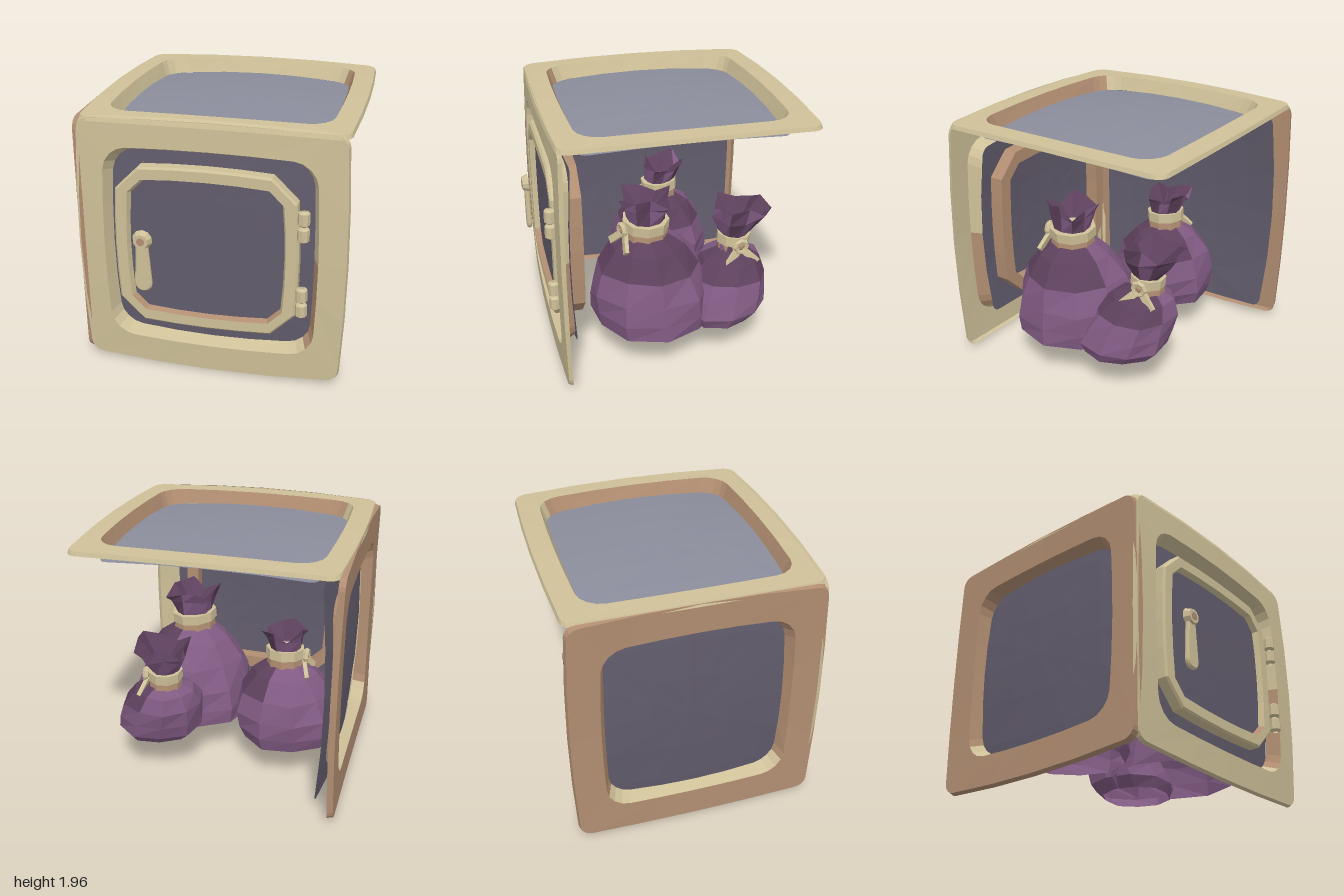
import * as THREE from 'three';

const make = (name, color) => {
  const m = new THREE.MeshStandardMaterial({ color, flatShading: true, side: THREE.DoubleSide });
  m.name = name;
  return m;
};
const beige = make('beige', 0xcec098);
const brown = make('brown', 0xb28e72);
const darkGrey = make('dark grey', 0x625c6c);
const slate = make('slate', 0x8b8d9c);
const purple = make('purple', 0x805a82);
const plum = make('plum', 0x5e415d);

const mesh = (name, geo, mat, x = 0, y = 0, z = 0) => {
  const m = new THREE.Mesh(geo, mat);
  m.name = name;
  m.position.set(x, y, z);
  return m;
};

// Skin consecutive closed loops of points; pick(i, j, mid) gives the material index of each quad
function loft(loops, pick = () => 0) {
  const buckets = [[], []];
  for (let i = 0; i < loops.length - 1; i++) {
    const n = loops[i].length;
    for (let j = 0; j < n; j++) {
      const k = (j + 1) % n;
      const a = loops[i][j], b = loops[i][k], c = loops[i + 1][k], d = loops[i + 1][j];
      const mid = a.clone().add(c).multiplyScalar(0.5);
      for (const p of [a, b, c, a, c, d]) buckets[pick(i, j, mid)].push(p.x, p.y, p.z);
    }
  }
  const geo = new THREE.BufferGeometry();
  geo.setAttribute('position', new THREE.Float32BufferAttribute(buckets.flat(), 3));
  geo.addGroup(0, buckets[0].length / 3, 0);
  geo.addGroup(buckets[0].length / 3, buckets[1].length / 3, 1);
  geo.computeVertexNormals();
  return geo;
}

// Rounded square loop with slightly bowed sides, lying in xy at depth z with a shallow dome
function outline(hw, hh, r, z, { arc = 4, bow = 0.035, dome = 0.02 } = {}) {
  const corners = [[1, 1], [-1, 1], [-1, -1], [1, -1]];
  const pts = [];
  corners.forEach(([sx, sy], q) => {
    for (let i = 0; i <= arc; i++) {
      const t = (q + i / arc) * Math.PI / 2;
      pts.push([sx * (hw - r) + r * Math.cos(t), sy * (hh - r) + r * Math.sin(t)]);
    }
    const [x0, y0] = pts[pts.length - 1];
    const [nx, ny] = corners[(q + 1) % 4];
    const x1 = nx * (q % 2 ? hw : hw - r), y1 = ny * (q % 2 ? hh - r : hh);
    for (const f of [0.25, 0.5, 0.75]) pts.push([x0 + (x1 - x0) * f, y0 + (y1 - y0) * f]);
  });
  return pts.map(([x, y]) => new THREE.Vector3(
    x * (1 - bow * (y / hh) ** 2), y * (1 - bow * (x / hw) ** 2), z + dome * (1 - x * x - y * y)));
}

const plate = (hw, hh, r, z, opt) =>
  loft([1, 0.7, 0.35, 0.0001].map((s) => outline(hw * s, hh * s, r * s, z, opt)));

// Framed wall facing +z: thin rim, flat face, bevel into the opening, domed recessed panel
function wall(name, { out, hole, rim, mats, bevel, panel, panelMat, shift = 0, dome = 0.02 }) {
  const g = new THREE.Group();
  g.name = name;
  const face = { dome }, inner = { dome: 0.06 };
  const loops = [
    outline(out[0], out[1], 0.08, -rim, face), outline(out[0] - 0.01, out[1] - 0.01, 0.08, 0, face),
    outline(hole[0], hole[1], 0.17, 0, face), outline(hole[0] - 0.04, hole[1] - 0.04, 0.16, -0.115, inner)];
  g.add(mesh(name + 'Frame', loft(loops, (i, j, m) => (i === 2 ? bevel(m) : 0)), mats));
  g.add(mesh(name + 'Panel', plate(panel[0], panel[1], 0.06, -0.12, { dome: 0.06, bow: 0.05 }), panelMat, shift));
  return g;
}

// Tied sack, open below: body, neck and crumpled mouth leaning from base to neck
function sack(name, { base, neck, r, neckR, neckY, topY, topR, tilt, turn, profile }) {
  const g = new THREE.Group();
  g.name = name;
  const n = 10, floor = 0.29, h = neckY - floor;
  const ring = (y, rad, wob, lift = 0, dz = 0) => Array.from({ length: n }, (_, j) => {
    const a = j / n * Math.PI * 2, f = Math.min(1, (y - floor) / h);
    const rr = rad * (1 + wob * Math.sin(j * 2.6 + y * 9));
    const up = lift * Math.sin(j * 4.1 + base[0] * 3);
    return new THREE.Vector3(base[0] + (neck[0] - base[0]) * f + Math.cos(a) * rr, y + up,
      base[1] + (neck[1] - base[1]) * f - Math.sin(a) * rr + dz);
  });
  const body = profile.map((k, i) => ring(floor + [0, 0.16, 0.36, 0.6, 0.82][i] * h, r * k, 0.04));
  body.push(ring(neckY - 0.04, neckR, 0));
  // Shoulder folds are plum on the side towards the opening
  g.add(mesh(name + 'Body', loft(body, (i, j) => (i >= 3 && (j < 2 || j > 6) ? 1 : 0)), [purple, plum]));
  const mouth = [ring(neckY - 0.05, neckR, 0), ring(neckY + 0.07, neckR * 0.95, 0.05),
    ring((neckY + topY) / 2 + 0.04, topR * 0.85, 0.16, 0.01, tilt / 2), ring(topY - 0.04, topR, 0.2, 0.045, tilt),
    ring(neckY + 0.12, neckR * 0.3, 0, 0, tilt / 3)];
  g.add(mesh(name + 'Mouth', loft(mouth, (i, j) => (i === 3 || j % 4 === 1 ? 1 : 0)), [purple, plum]));

  // Rope bands with a knot and two loose ends
  const rope = new THREE.Group();
  rope.name = name + 'Rope';
  rope.position.set(neck[0], neckY, neck[1]);
  rope.rotation.y = turn;
  const lower = mesh('lowerBand', new THREE.CylinderGeometry(neckR * 1.1, neckR * 1.15, 0.08, 9), brown, 0, -0.03, 0);
  const upper = mesh('upperBand', new THREE.CylinderGeometry(neckR * 1.2, neckR * 1.2, 0.075, 9), beige, 0, 0.04, 0);
  upper.rotation.x = -0.08;
  const kx = neckR * 1.25;
  const knot = mesh('knot', new THREE.TorusGeometry(0.045, 0.022, 5, 8), beige, kx + 0.01, 0.02, 0);
  knot.rotation.y = Math.PI / 2;
  rope.add(lower, upper, knot, mesh('knotCore', new THREE.SphereGeometry(0.032, 6, 5), brown, kx, 0.02, 0));
  for (const s of [-1, 1]) {
    const end = mesh('ropeEnd', new THREE.BoxGeometry(0.03, 0.16, 0.055), beige, kx + 0.02, -0.06, s * 0.07);
    end.rotation.set(-s * 0.8, 0, 0.3);
    rope.add(end);
  }
  g.add(rope);
  return g;
}

export function createModel() {
  const model = new THREE.Group();
  model.name = 'safe';

  // Three walls; the other sides are open
  const front = wall('frontWall', { out: [0.985, 0.98], hole: [0.78, 0.765], rim: 0.03, mats: [beige, brown],
    bevel: (m) => (m.x > 0.7 && m.y < 0.1 ? 1 : 0), panel: [0.755, 0.74], panelMat: darkGrey });
  front.position.set(-0.008, 0.992, 0.89);
  const top = wall('topWall', { out: [0.985, 0.955], hole: [0.825, 0.785], rim: 0.03, mats: [beige, brown],
    bevel: (m) => (m.x > 0.74 || (m.y < -0.7 && Math.abs(m.x) > 0.12) ? 1 : 0), panel: [0.82, 0.79], panelMat: slate });
  top.rotation.x = -Math.PI / 2;
  top.position.set(0, 1.953, -0.045);
  const side = wall('sideWall', { out: [0.945, 0.97], hole: [0.71, 0.73], rim: 0.045, mats: [brown, beige],
    bevel: (m) => (m.y < -0.6 ? 1 : 0), panel: [0.82, 0.89], panelMat: darkGrey, shift: -0.04, dome: -0.012 });
  side.rotation.y = -Math.PI / 2;
  side.position.set(-0.98, 0.985, -0.045);
  model.add(front, top, side);

  // Door: chamfered ring, inner panel and rear lip
  const door = new THREE.Group();
  door.name = 'door';
  door.position.set(-0.035, 1, 0);
  const opt = { arc: 1, bow: 0.05, dome: 0 };
  const o = (inset, r, z) => outline(0.67 - inset, 0.625 - inset, r, z, opt);
  door.add(mesh('doorRing', loft([o(0, 0.17, 0.81), o(0, 0.17, 0.885), o(0.015, 0.16, 0.9),
    o(0.09, 0.1, 0.9), o(0.11, 0.09, 0.85)], (i, j, m) => (i === 3 && m.y < -0.4 ? 1 : 0)), [beige, brown]));
  door.add(mesh('doorPanel', plate(0.565, 0.52, 0.09, 0.85, { ...opt, dome: 0.012 }), darkGrey));
  door.add(mesh('doorRearLip', loft([o(0.1, 0.1, 0.79), o(0.1, 0.1, 0.68), o(0, 0.17, 0.68), o(0, 0.17, 0.79)]), brown));
  model.add(door);

  // Hinges: two barrels each
  const barrel = [[0.02, -0.058], [0.043, -0.042], [0.043, 0.042], [0.02, 0.058]].map((p) => new THREE.Vector2(...p));
  for (const y of [1.285, 0.7]) for (const s of [-1, 1])
    model.add(mesh('hinge', new THREE.LatheGeometry(barrel, 8), beige, 0.665, y + s * 0.06, 0.912));

  // Handle: hub, button and flared lever
  const hub = mesh('handleHub', new THREE.CylinderGeometry(0.055, 0.075, 0.045, 10), beige, -0.48, 1.08, 0.97);
  const button = mesh('handleButton', new THREE.CylinderGeometry(0.03, 0.03, 0.01, 8), brown, -0.48, 1.08, 0.992);
  for (const m of [hub, button]) m.rotation.x = Math.PI / 2;
  const shape = new THREE.Shape();
  shape.moveTo(-0.03, 0.05);
  shape.lineTo(-0.052, -0.28);
  shape.absarc(0, -0.29, 0.053, Math.PI, Math.PI * 2, false);
  shape.lineTo(0.03, 0.05);
  const lever = mesh('handleLever', new THREE.ExtrudeGeometry(shape, {
    depth: 0.015, bevelSize: 0.012, bevelThickness: 0.012, bevelSegments: 1, curveSegments: 5 }), beige, -0.48, 1.03, 0.95);
  model.add(hub, button, lever);

  // Sacks inside
  model.add(sack('largeSack', { base: [0.39, 0.11], neck: [0.4, 0.17], r: 0.48, neckR: 0.15, neckY: 1.03,
    topY: 1.32, topR: 0.2, tilt: 0, turn: -1.3, profile: [1, 1.01, 0.97, 0.83, 0.58] }));
  model.add(sack('middleSack', { base: [-0.47, -0.14], neck: [-0.44, -0.15], r: 0.41, neckR: 0.125, neckY: 0.94,
    topY: 1.22, topR: 0.17, tilt: -0.04, turn: Math.PI, profile: [0.92, 1, 1, 0.87, 0.6] }));
  model.add(sack('smallSack', { base: [0.53, -0.37], neck: [0.41, -0.53], r: 0.35, neckR: 0.11, neckY: 0.82,
    topY: 1.16, topR: 0.21, tilt: -0.06, turn: 0.1, profile: [0.8, 0.98, 0.95, 0.88, 0.66] }));
  return model;
}
